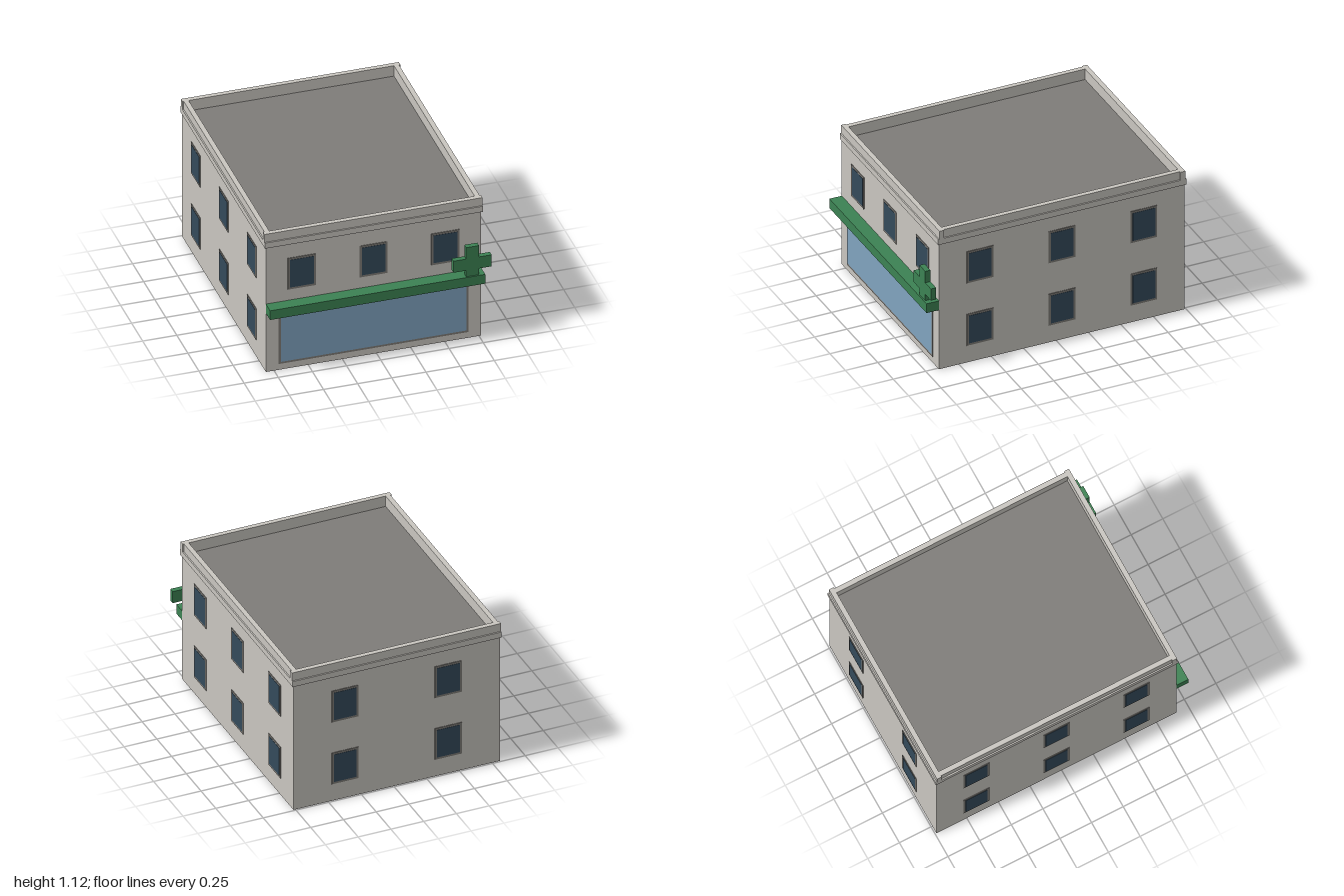
import * as THREE from 'three';

const mat = (name, color, side = THREE.FrontSide) => {
  const m = new THREE.MeshStandardMaterial({ color, side });
  m.name = name;
  return m;
};

export function createModel() {
  const model = new THREE.Group();
  model.name = 'shopBuilding';

  const plaster = mat('plaster', 0xc9c6c0, THREE.DoubleSide);
  const roofGrey = mat('roofGrey', 0x7e7c79, THREE.DoubleSide);
  const frameGrey = mat('frameGrey', 0x7e7b76);
  const darkGlass = mat('darkGlass', 0x344a5b);
  const shopGlass = mat('shopGlass', 0x80a3bf);
  const green = mat('green', 0x3c8253);

  // Box given by its two extreme corners
  const box = (name, material, x0, x1, y0, y1, z0, z1, parent = model) => {
    const mesh = new THREE.Mesh(new THREE.BoxGeometry(x1 - x0, y1 - y0, z1 - z0), material);
    mesh.position.set((x0 + x1) / 2, (y0 + y1) / 2, (z0 + z1) / 2);
    mesh.name = name;
    parent.add(mesh);
  };

  const X0 = -0.81, X1 = 0.765, Z0 = -0.99, Z1 = 0.905;
  const W = X1 - X0, D = Z1 - Z0, CX = (X0 + X1) / 2, CZ = (Z0 + Z1) / 2;
  const ROOF = 1.04, TOP = 1.125;

  // Each facade is a group facing its own +z, its origin at the foot of the wall
  const facade = (name, width, x, z, turn) => {
    const g = new THREE.Group();
    g.name = name;
    g.position.set(x, 0, z);
    g.rotation.y = turn;
    const wall = new THREE.Mesh(new THREE.PlaneGeometry(width, ROOF), plaster);
    wall.position.y = ROOF / 2;
    wall.name = 'wall';
    g.add(wall);
    model.add(g);
    return g;
  };

  // Thin frame plate with a smaller glass plate over it
  const windowPane = (parent, name, u, v, w, h, rim, glass) => {
    box(name + 'Frame', frameGrey, u - w / 2, u + w / 2, v - h / 2, v + h / 2, 0, 0.004, parent);
    const a = w / 2 - rim, b = h / 2 - rim;
    box(name + 'Glass', glass, u - a, u + a, v - b, v + b, 0.003, 0.006, parent);
  };
  const windowRow = (parent, width, count, y) => {
    for (let i = 0; i < count; i++) {
      const u = ((i + 0.5) / count - 0.5) * width;
      windowPane(parent, 'window', u, y, 0.205, 0.256, 0.016, darkGlass);
    }
  };

  const front = facade('frontFacade', W, CX, Z1, 0);
  const back = facade('backFacade', W, CX, Z0, Math.PI);
  const left = facade('leftFacade', D, X1, CZ, Math.PI / 2);
  const right = facade('rightFacade', D, X0, CZ, -Math.PI / 2);

  windowRow(front, W, 3, 0.772);
  for (const y of [0.265, 0.772]) {
    windowRow(back, W, 2, y);
    windowRow(left, D, 3, y);
    windowRow(right, D, 3, y);
  }
  windowPane(front, 'shopWindow', 0, 0.255, 1.39, 0.412, 0.016, shopGlass);

  // Flat roof, also seen as the ceiling through the open base
  const roof = new THREE.Mesh(new THREE.PlaneGeometry(W, D), roofGrey);
  roof.rotation.x = -Math.PI / 2;
  roof.position.set(CX, ROOF - 0.002, CZ);
  roof.name = 'roof';
  model.add(roof);

  // Cornice band just outside the walls
  const o = 0.01, c0 = 1.015, c1 = 1.06;
  box('corniceFront', plaster, X0 - o, X1 + o, c0, c1, Z1, Z1 + o);
  box('corniceBack', plaster, X0 - o, X1 + o, c0, c1, Z0 - o, Z0);
  box('corniceLeft', plaster, X1, X1 + o, c0, c1, Z0, Z1);
  box('corniceRight', plaster, X0 - o, X0, c0, c1, Z0, Z1);

  // Parapet: front and back runs stick out a little at the corners
  const t = 0.036;
  box('parapetFront', plaster, X0 - o, X1 + o, ROOF, TOP, Z1 - t, Z1);
  box('parapetBack', plaster, X0 - o, X1 + o, ROOF, TOP, Z0, Z0 + t);
  box('parapetLeft', plaster, X1 - t, X1, ROOF, TOP, Z0 + t, Z1 - t);
  box('parapetRight', plaster, X0, X0 + t, ROOF, TOP, Z0 + t, Z1 - t);

  // Sign band over the shop window
  box('signBand', green, X0, X1, 0.48, 0.555, Z1, 1);

  // Cross sign standing on the band
  const cross = new THREE.Shape();
  const a = 0.047, r = 0.14;
  [[-a, -r], [a, -r], [a, -a], [r, -a], [r, a], [a, a], [a, r], [-a, r], [-a, a], [-r, a], [-r, -a], [-a, -a]]
    .forEach(([x, y], i) => (i ? cross.lineTo(x, y) : cross.moveTo(x, y)));
  const sign = new THREE.Mesh(new THREE.ExtrudeGeometry(cross, { depth: 0.04, bevelEnabled: false }), green);
  sign.position.set(0.675, 0.653, 0.95);
  sign.name = 'crossSign';
  model.add(sign);

  return model;
}
